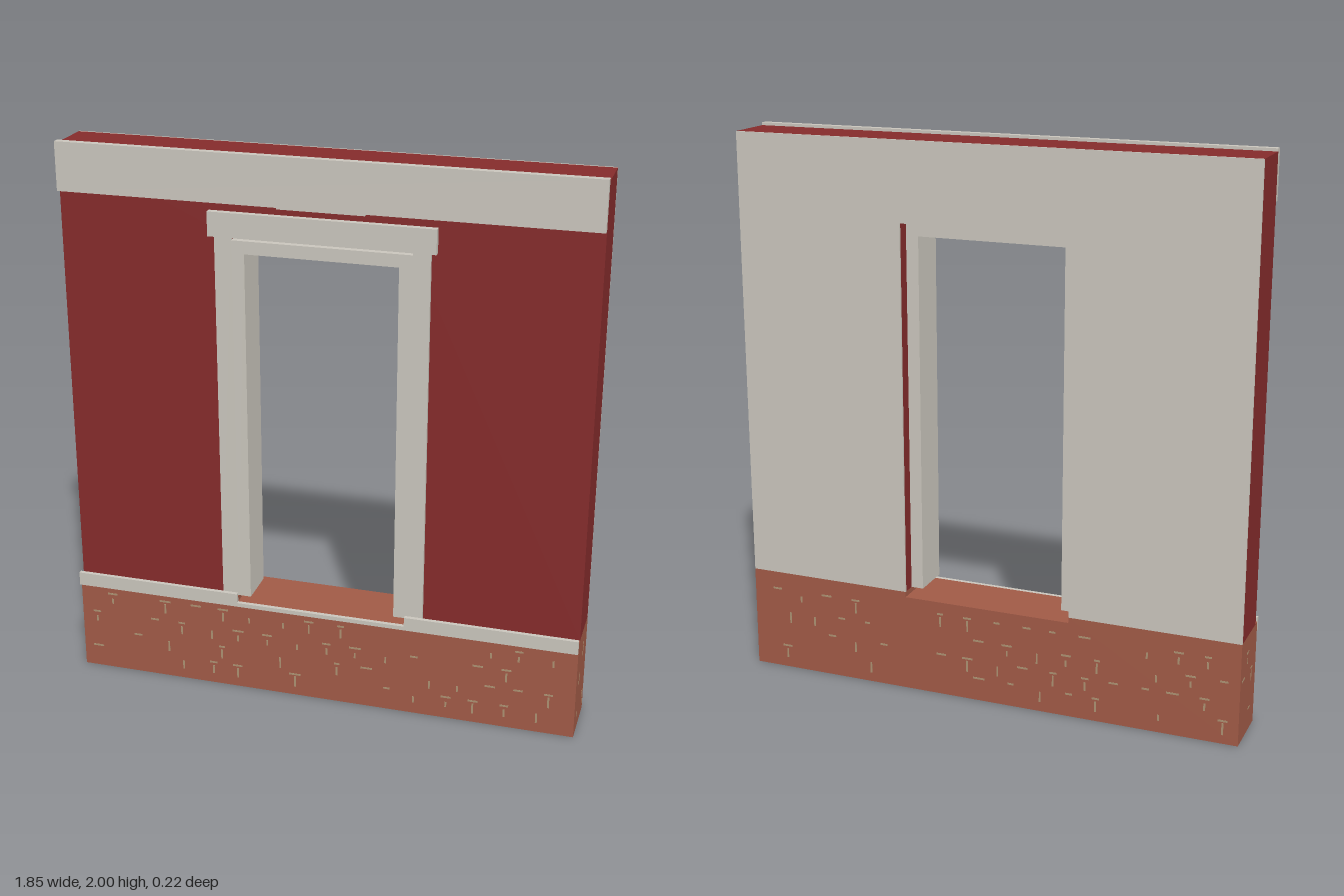
import * as THREE from 'three';

export function createModel() {
  const model = new THREE.Group();
  model.name = 'doorwayWall';

  const mat = (name, color) => {
    const m = new THREE.MeshStandardMaterial({ color });
    m.name = name;
    return m;
  };
  const red = mat('redPaint', 0x842b2b);
  const trim = mat('paleTrim', 0xc9c5bc);
  const brick = mat('brick', 0xa05a46);
  const mortar = mat('mortar', 0xab9172);

  const add = (name, geometry, material, parent = model) => {
    const mesh = new THREE.Mesh(geometry, material);
    mesh.name = name;
    parent.add(mesh);
    return mesh;
  };
  // Box given by its two opposite corners
  const box = (name, material, x0, x1, y0, y1, z0, z1, parent = model) => {
    const mesh = add(name, new THREE.BoxGeometry(x1 - x0, y1 - y0, z1 - z0), material, parent);
    mesh.position.set((x0 + x1) / 2, (y0 + y1) / 2, (z0 + z1) / 2);
    return mesh;
  };
  // Upright slab from a front outline, between two depths
  const slab = (name, material, points, z0, z1) => {
    const shape = new THREE.Shape(points.map(([x, y]) => new THREE.Vector2(x, y)));
    const g = new THREE.ExtrudeGeometry(shape, { depth: z1 - z0, bevelEnabled: false });
    g.translate(0, 0, z0);
    return add(name, g, material);
  };

  const W = 0.925, O = 0.31;           // half widths of wall and opening
  const baseTop = 0.375, floor = 0.355, wallTop = 1.99, openTop = 1.71;
  const back = -0.112, front = 0.074, baseFront = 0.097;

  // Brick plinth with a shallow notch for the threshold
  slab('brickBase', brick, [
    [-W, 0], [W, 0], [W, baseTop], [O, baseTop],
    [O, floor], [-O, floor], [-O, baseTop], [-W, baseTop],
  ], back, baseFront);

  // Wall and its inner plaster skin, both open for the doorway
  const arch = [
    [-W, baseTop], [-O, baseTop], [-O, openTop], [O, openTop],
    [O, baseTop], [W, baseTop], [W, wallTop], [-W, wallTop],
  ];
  slab('wall', red, arch, -0.105, front);
  slab('innerPlaster', trim, arch, back, -0.105);

  // Cornice across the top
  box('cornice', trim, -W, W, 1.83, 2, 0.071, baseFront);
  box('corniceTab', trim, -0.15, 0.15, 1.823, 1.83, front, 0.09);

  // Door surround: jambs line the opening, casings lie on the wall face
  const jambBack = -0.06, casing = 0.087;
  for (const s of [-1, 1]) {
    const side = s > 0 ? 'left' : 'right';
    const mirrored = (name, a, b, y0, y1, z0, z1) =>
      box(side + name, trim, Math.min(s * a, s * b), Math.max(s * a, s * b), y0, y1, z0, z1);
    mirrored('Jamb', 0.265, O, baseTop, 1.705, jambBack, casing);
    mirrored('Casing', O, 0.37, baseTop, 1.715, front, casing);
    mirrored('SillBand', O, W, 0.34, 0.39, baseFront, 0.112);
  }
  box('lintel', trim, -0.265, 0.265, 1.66, 1.705, jambBack, casing);
  box('headCap', trim, -0.39, 0.39, 1.715, 1.8, front, baseFront);
  box('thresholdStrip', trim, -O, O, 0.34, floor, baseFront, 0.112);

  // Broken mortar joints, as thin plates on the four sides of the plinth
  let seed = 17;
  const rand = () => (seed = (seed * 16807) % 2147483647) / 2147483647;
  const joints = new THREE.Group();
  joints.name = 'mortarJoints';
  model.add(joints);
  const t = 0.0008;
  const rows = [0.085, 0.155, 0.23, 0.31];
  const fleck = (face, u, v, w, h) => {
    const [a, b, c, d] = [u - w / 2, u + w / 2, v - h / 2, v + h / 2];
    if (face === 'front') box('joint', mortar, a, b, c, d, baseFront, baseFront + t, joints);
    else if (face === 'back') box('joint', mortar, a, b, c, d, back - t, back, joints);
    else if (face === 'left') box('joint', mortar, W, W + t, c, d, a, b, joints);
    else box('joint', mortar, -W - t, -W, c, d, a, b, joints);
  };
  for (const face of ['front', 'back', 'left', 'right']) {
    const long = face === 'front' || face === 'back';
    const from = long ? -0.86 : -0.08, to = long ? 0.87 : 0.07;
    rows.forEach((y, i) => {
      for (let u = from + (i % 2) * 0.05; u < to; u += 0.11) {
        const p = u + (rand() - 0.5) * 0.02;
        if (rand() < 0.5) fleck(face, p, y, 0.02 + rand() * 0.025, 0.007);
        if (rand() < 0.5) fleck(face, p, y - 0.03, 0.007, 0.02 + rand() * 0.025);
      }
    });
  }

  return model;
}
